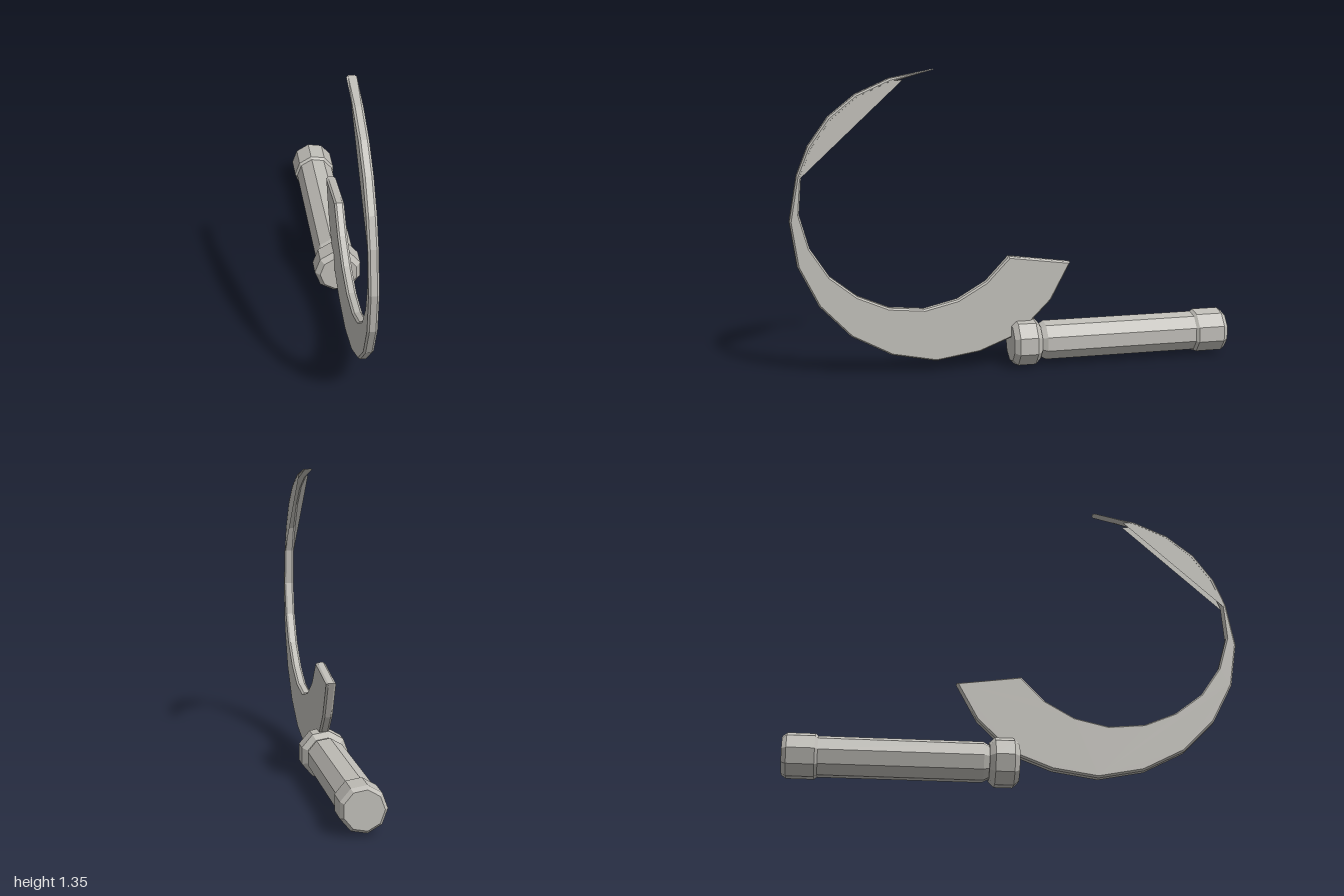
import * as THREE from 'three';

// Blade outline in (z, y): outer edge from heel to tip, inner edge from heel to near the tip
const outer = [
  [-0.26, 0.47], [-0.17, 0.3], [-0.02, 0.15], [0.16, 0.08], [0.36, 0.05], [0.56, 0.09],
  [0.74, 0.185], [0.88, 0.33], [0.97, 0.51], [1, 0.71], [0.965, 0.91],
  [0.915, 1.035], [0.825, 1.16], [0.705, 1.255], [0.555, 1.32], [0.36, 1.355],
];
const inner = [
  [0.025, 0.51], [0.13, 0.4], [0.26, 0.325], [0.41, 0.29], [0.57, 0.305], [0.71, 0.365],
  [0.83, 0.46], [0.915, 0.59], [0.957, 0.74], [0.945, 0.905],
  [0.895, 1.025], [0.808, 1.146], [0.692, 1.24], [0.55, 1.302],
];
const HALF = 0.022; // half thickness of the blade

const toShape = (pts) => new THREE.Shape(pts.map(([z, y]) => new THREE.Vector2(z, y)));

export function createModel() {
  const group = new THREE.Group();
  const steel = new THREE.MeshStandardMaterial({ color: 0xbfbdb7, flatShading: true, side: THREE.DoubleSide });
  steel.name = 'grey steel';

  const add = (name, geometry) => {
    const mesh = new THREE.Mesh(geometry, steel);
    mesh.name = name;
    group.add(mesh);
  };

  // Hooked blade with a small bevel along its rim
  const bevel = 0.009;
  const blade = new THREE.ExtrudeGeometry(toShape([...outer, ...inner.slice().reverse()]), {
    depth: 2 * (HALF - bevel), bevelEnabled: true, bevelSegments: 1,
    bevelThickness: bevel, bevelSize: 0.007, bevelOffset: -0.007,
  });
  blade.translate(0, 0, -(HALF - bevel));
  blade.rotateY(-Math.PI / 2);
  add('blade', blade);

  // Thin webs spanning the upper hook on both cheeks
  const arc = inner.slice(9).map(([z, y], i) => [(z + outer[10 + i][0]) / 2, (y + outer[10 + i][1]) / 2]);
  const web = toShape([[0.955, 0.895], ...arc, [0.5, 1.312]]);
  for (const [name, side] of [['leftWeb', 1], ['rightWeb', -1]]) {
    const sheet = new THREE.ShapeGeometry(web);
    sheet.rotateY(-Math.PI / 2);
    sheet.translate(side * (HALF - 0.0005), 0, 0);
    add(name, sheet);
  }

  // Nine-sided turned parts along z, from [radius, z] profiles running back to front
  const turned = (name, profile) => {
    const pts = profile.map(([r, z]) => new THREE.Vector2(r, z));
    const geometry = new THREE.LatheGeometry(pts, 9, -Math.PI / 2);
    geometry.rotateX(Math.PI / 2);
    geometry.translate(0, 0.11, 0);
    add(name, geometry);
  };
  turned('pommel', [[0, -1], [0.085, -1], [0.1, -0.98], [0.1, -0.86], [0.088, -0.845], [0, -0.845]]);
  turned('grip', [[0, -0.9], [0.09, -0.9], [0.09, -0.14], [0.073, -0.11], [0, -0.11]]);
  turned('collar', [[0, -0.115], [0.085, -0.115], [0.11, -0.09], [0.11, -0.008], [0.088, 0.015], [0, 0.015]]);

  return group;
}
